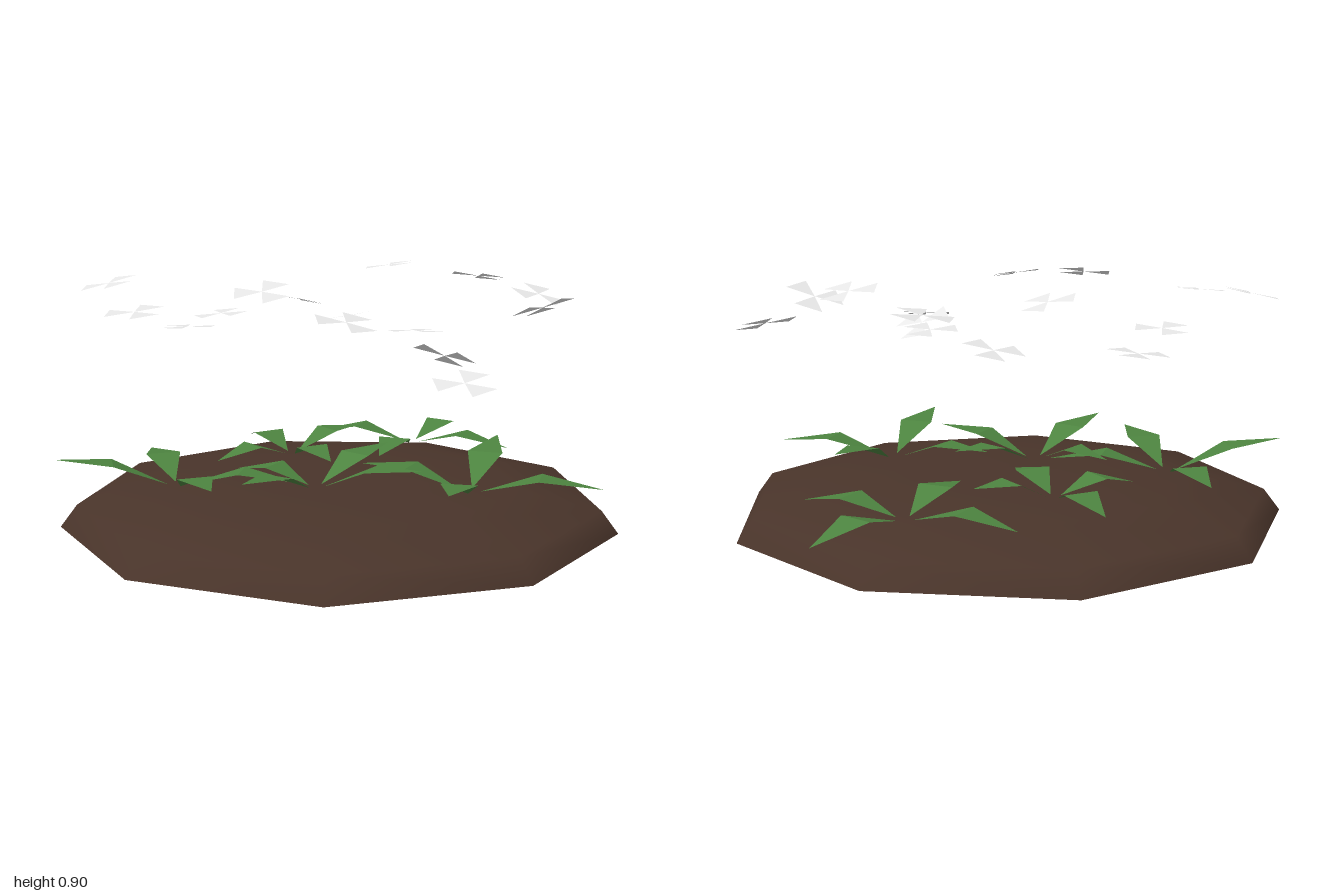
import * as THREE from 'three';

const soil = new THREE.MeshStandardMaterial({ color: 0x49342a, name: 'soil' });
const green = new THREE.MeshStandardMaterial({ color: 0x4d8440, name: 'leafGreen', side: THREE.DoubleSide, flatShading: true });
const white = new THREE.MeshStandardMaterial({ color: 0xf2f2f2, name: 'petalWhite', side: THREE.DoubleSide, flatShading: true });

// Plants: centre x, z, then leaf tips as [x, z, rise above the plant base]
const PLANTS = [
  [0.53, -0.42, [[0.26, -0.74, 0.01], [0.91, -0.62, 0], [0.78, -0.09, 0.01], [0.22, -0.13, 0.03]]],
  [-0.02, -0.4, [[-0.05, -0.74, 0.01], [0.3, -0.45, 0.07], [-0.01, -0.08, 0.03], [-0.35, -0.36, 0.01]]],
  [-0.58, -0.18, [[-0.52, -0.61, 0.04], [-1, -0.3, 0.11], [-0.63, 0.26, 0.08], [-0.22, 0.08, 0.02]]],
  [-0.18, 0.13, [[0.2, -0.02, 0.09], [0.08, 0.44, 0.09], [-0.56, 0.35, 0.1], [-0.36, -0.13, 0.03]]],
  [0.29, 0.41, [[0.03, 0.08, 0.06], [0.62, 0.08, 0.105], [0.65, 0.71, 0.03], [-0.01, 0.76, 0.1]]],
];

// Flowers: x, y, z, slope along x, slope along z, turn in degrees
const FLOWERS = [
  [-0.7, 0.85, -0.53, 0.22, 0.03, 90], [-0.2, 0.69, -0.66, 0.1, 0.03, 65],
  [0.53, 0.85, -0.61, 0.1, 0.1, 90], [-0.49, 0.705, -0.29, -0.02, 0.08, 30],
  [0.2, 0.685, -0.39, 0.1, 0.2, 60], [-0.77, 0.805, -0.06, 0.1, -0.05, 90],
  [-0.11, 0.8, -0.14, -0.25, 0.05, 90], [0.25, 0.69, 0.09, -0.05, 0.08, 75],
  [0.59, 0.86, -0.03, -0.2, 0.12, 85], [0.89, 0.77, -0.06, -0.1, -0.3, 60],
  [-0.37, 0.87, 0.11, 0.15, -0.2, 85], [0.15, 0.66, 0.46, -0.45, 0.2, 70],
  [0.59, 0.79, 0.4, 0.1, 0.42, 60], [-0.29, 0.82, 0.58, -0.06, -0.2, 80],
  [0, 0.64, 0.83, 0.1, -0.2, 80],
];

function surface(points, index) {
  const g = new THREE.BufferGeometry().setFromPoints(points);
  g.setIndex(index);
  g.computeVertexNormals();
  return g;
}

// Kite-shaped leaf that rises to its widest point, then bends towards the tip
function leaf(x, z, rise) {
  const out = new THREE.Vector3(x, 0, z);
  const side = new THREE.Vector3(z, 0, -x).setLength(0.065);
  const base = out.clone().multiplyScalar(0.08);
  const mid = out.clone().multiplyScalar(0.53).setY(0.05 + rise * 0.35);
  const tip = out.clone().setY(rise);
  return surface([base, mid.clone().add(side), mid.clone().sub(side), tip], [0, 2, 1, 1, 2, 3]);
}

// Three flat wedge petals meeting at the centre, laid on a tilted plane
function flower(sx, sz, turn) {
  const points = [], index = [];
  const on = (a, r) => {
    const x = Math.cos(a) * r, z = Math.sin(a) * r;
    return new THREE.Vector3(x, x * sx + z * sz, z);
  };
  for (let i = 0; i < 3; i++) {
    const a = THREE.MathUtils.degToRad(turn + i * 120);
    points.push(new THREE.Vector3(), on(a - 0.5, 0.108), on(a + 0.5, 0.108));
    index.push(i * 3, i * 3 + 2, i * 3 + 1);
  }
  return surface(points, index);
}

export function createModel() {
  const model = new THREE.Group();
  model.name = 'flowerBed';

  const add = (parent, name, geometry, material) => {
    const mesh = new THREE.Mesh(geometry, material);
    mesh.name = name;
    parent.add(mesh);
    return mesh;
  };

  // Nine-sided mound of soil with a flat underside
  const R = 1.0154;
  const profile = [[R, 0], [0.955, 0.08], [0.66, 0.14], [0.36, 0.163], [0, 0.168]]
    .map(([r, y]) => new THREE.Vector2(r, y));
  const mound = new THREE.Group();
  mound.name = 'soilMound';
  mound.position.x = -0.0155;
  add(mound, 'moundTop', new THREE.LatheGeometry(profile, 9, Math.PI / 2), soil);
  add(mound, 'moundBase', new THREE.CircleGeometry(R, 9).rotateX(Math.PI / 2), soil);
  model.add(mound);

  // Leafy plants
  for (const [x, z, tips] of PLANTS) {
    const plant = new THREE.Group();
    plant.name = 'plant';
    plant.position.set(x, 0.17 - 0.05 * (x * x + z * z), z);
    for (const [tx, tz, rise] of tips) add(plant, 'leaf', leaf(tx - x, tz - z, rise), green);
    model.add(plant);
  }

  // Flowers floating over the plants
  for (const [x, y, z, sx, sz, turn] of FLOWERS) {
    add(model, 'flower', flower(sx, sz, turn), white).position.set(x, y, z);
  }
  return model;
}
